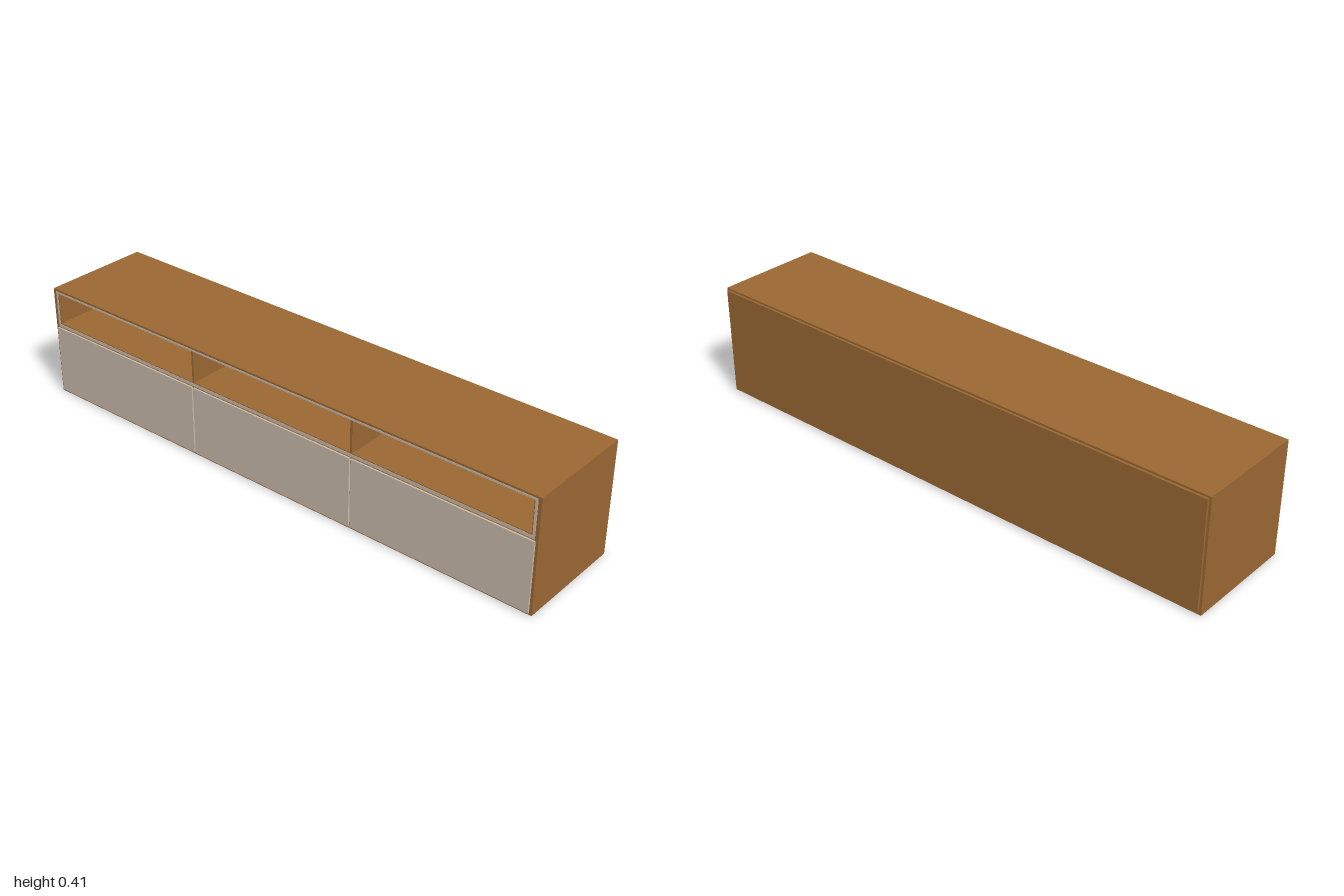
import * as THREE from 'three';

export function createModel() {
  const group = new THREE.Group();
  const wood = new THREE.MeshStandardMaterial({ color: 0x9a6733 });
  wood.name = 'brown wood';
  const beige = new THREE.MeshStandardMaterial({ color: 0xc9bbab });
  beige.name = 'beige lacquer';

  // Box given by its lower and upper limits on each axis
  function box(name, material, [x0, x1], [y0, y1], [z0, z1]) {
    const mesh = new THREE.Mesh(new THREE.BoxGeometry(x1 - x0, y1 - y0, z1 - z0), material);
    mesh.position.set((x0 + x1) / 2, (y0 + y1) / 2, (z0 + z1) / 2);
    mesh.name = name;
    group.add(mesh);
  }

  const depth = [-0.197, 0.201];
  const inner = 0.976;
  const shelfTop = 0.276;
  const nicheTop = 0.39;

  // Carcass
  box('topPanel', wood, [-1, 1], [nicheTop, 0.405], depth);
  box('bottomPanel', wood, [-inner, inner], [0, 0.016], depth);
  box('shelf', wood, [-inner, inner], [0.26, shelfTop], depth);
  box('backPanel', wood, [-0.992, 0.992], [0.008, 0.398], [-0.205, -0.197]);
  for (const [side, s] of [['left', 1], ['right', -1]]) {
    const x = s > 0 ? [inner, 1] : [-1, -inner];
    box(side + 'SidePanel', wood, x, [0, nicheTop], depth);
    // Dividers run from the bottom to the top panel
    const d = s * 0.331;
    box(side + 'LowerDivider', wood, [d - 0.004, d + 0.004], [0.016, 0.26], depth);
    box(side + 'UpperDivider', wood, [d - 0.004, d + 0.004], [shelfTop, nicheTop], depth);
  }

  // Pale edging around the open niche
  const edge = [0.201, 0.202];
  box('topEdging', beige, [-0.988, 0.988], [0.391, 0.398], edge);
  box('shelfEdging', beige, [-0.988, 0.988], [0.262, 0.273], edge);
  box('leftEdging', beige, [0.979, 0.988], [0.273, 0.391], edge);
  box('rightEdging', beige, [-0.988, -0.979], [0.273, 0.391], edge);

  // Three door fronts with narrow gaps
  const doorEdges = [[-0.991, -0.334], [-0.329, 0.329], [0.334, 0.991]];
  ['right', 'middle', 'left'].forEach((name, i) =>
    box(name + 'Door', beige, doorEdges[i], [0.008, 0.258], [0.201, 0.207]));

  return group;
}
